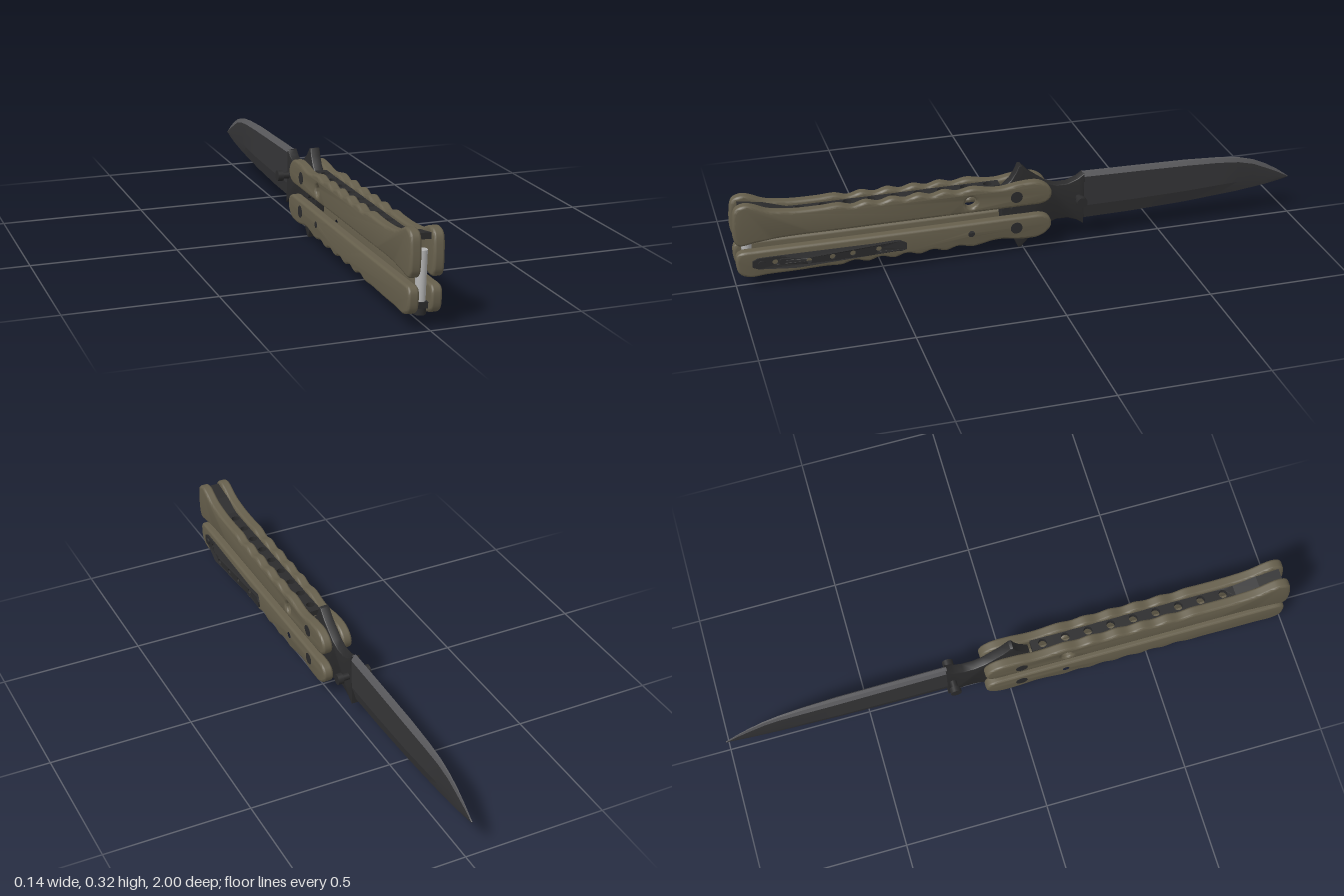
import * as THREE from 'three';
import { toCreasedNormals } from 'three/addons/utils/BufferGeometryUtils.js';

const MID = 0.1575; // height of the mirror line between the two handles
const V = (p) => new THREE.Vector2(p[0], p[1]);
const flip = (p) => [p[0], 2 * MID - p[1]];

export function createModel() {
  const mat = (name, color) => {
    const m = new THREE.MeshStandardMaterial({ color });
    m.name = name;
    return m;
  };
  const olive = mat('olive handle', 0x665f4c);
  const black = mat('black metal', 0x2b2b2c);
  const bladeGrey = mat('dark blade', 0x353537);
  const edgeGrey = mat('blade bevel', 0x58585b);
  const steel = mat('bright steel', 0xb4b4b4);

  const root = new THREE.Group();
  root.name = 'foldingKnife';
  const body = new THREE.Group();
  body.name = 'knifeBody';
  body.position.x = -0.019;
  body.rotation.z = -0.03; // slight lean
  root.add(body);

  const add = (name, geo, material, parent = body) => {
    const m = new THREE.Mesh(geo, material);
    m.name = name;
    parent.add(m);
    return m;
  };

  // Side profile given as (z, y), extruded to a thickness centred on x = 0
  const slab = (pts, thick, bevel, holes = []) => {
    const shape = new THREE.Shape(pts);
    for (const [z, y, r] of holes) {
      const h = new THREE.Path();
      h.absarc(z, y, r, 0, Math.PI * 2, true);
      shape.holes.push(h);
    }
    const g = new THREE.ExtrudeGeometry(shape, {
      depth: thick - 2 * bevel, bevelEnabled: bevel > 0, bevelSize: bevel, bevelThickness: bevel,
      bevelOffset: -bevel, bevelSegments: 3, curveSegments: 10,
    });
    g.translate(0, 0, bevel - thick / 2);
    g.rotateY(-Math.PI / 2);
    return g;
  };

  // Round bar lying along x
  const crossPin = (name, r, len, z, y, material, x = 0) => {
    const m = add(name, new THREE.CylinderGeometry(r, r, len, 24), material);
    m.rotation.z = Math.PI / 2;
    m.position.set(x, y, z);
  };
  const post = (name, r, y0, y1, z, material) => {
    add(name, new THREE.CylinderGeometry(r, r, y1 - y0, 24), material).position.set(0, (y0 + y1) / 2, z);
  };

  // Handle outline: straight inner side, shaped butt, finger waves, round pivot end
  const outline = (butt, mirror) => {
    const pts = [[-0.06, 0.18], [0.0, 0.178], [0.3, 0.178], [0.6, 0.178], [0.85, 0.177], ...butt, [0.8, 0.27], [0.7, 0.268]];
    for (let i = 0; i < 5; i++) pts.push([0.645 - 0.09 * i, 0.27], [0.6 - 0.09 * i, 0.259]);
    pts.push([0.19, 0.268], [0.12, 0.256], [0.08, 0.255], [0.02, 0.264], [-0.045, 0.263], [-0.08, 0.243], [-0.092, 0.22], [-0.085, 0.194]);
    const c = new THREE.CatmullRomCurve3(
      pts.map((p) => (mirror ? flip(p) : p)).map((p) => new THREE.Vector3(p[0], p[1], 0)), true, 'centripetal');
    return c.getSpacedPoints(220).slice(0, -1).map((p) => V([p.x, p.y]));
  };

  const flared = [[0.93, 0.169], [0.985, 0.164], [0.998, 0.18], [1.0, 0.25], [0.988, 0.298], [0.955, 0.31], [0.925, 0.302], [0.88, 0.282]];
  const plain = [[0.93, 0.177], [0.98, 0.179], [0.994, 0.19], [0.994, 0.245], [0.982, 0.262], [0.95, 0.273], [0.9, 0.27]];

  for (const upper of [true, false]) {
    const tag = upper ? 'upper' : 'lower';
    const pts = outline(upper ? flared : plain, !upper);
    const yAt = (y) => (upper ? y : 2 * MID - y);

    // Pair of scales with a through hole
    const scale = toCreasedNormals(slab(pts, 0.036, 0.009, [[0.195, yAt(0.217), 0.021]]), 0.7);
    for (const s of [1, -1]) add(`${tag}Scale${s > 0 ? 'Left' : 'Right'}`, scale, olive).position.x = s * 0.037;

    // Drilled spine strip between the scales, following the flared butt
    for (let i = 0; i < 11; i++) {
      const z = 0.124 + 0.081 * i;
      const cell = new THREE.Shape([V([-0.02, -0.0405]), V([0.02, -0.0405]), V([0.02, 0.0405]), V([-0.02, 0.0405])]);
      if (i < 9) {
        const hole = new THREE.Path();
        hole.absarc(0, 0, 0.015, 0, Math.PI * 2, true);
        cell.holes.push(hole);
      }
      const g = new THREE.ExtrudeGeometry(cell, { depth: 0.02, bevelEnabled: false, curveSegments: 10 });
      g.rotateX(-Math.PI / 2);
      g.translate(0, upper ? 0.234 : 0.061, z);
      const p = g.attributes.position;
      for (let k = 0; upper && k < p.count; k++) {
        p.setY(k, p.getY(k) + 0.042 * THREE.MathUtils.smoothstep(p.getZ(k), 0.79, 0.96));
      }
      g.computeVertexNormals();
      add(`${tag}Spine`, g, black);
    }
    crossPin(`${tag}PivotScrew`, 0.021, 0.1115, 0.035, yAt(0.217), black);
  }

  // Latch at the butt
  post('latchPost', 0.017, 0.06, 0.24, 0.955, steel);
  post('latchFoot', 0.02, 0.04, 0.062, 0.955, black);

  // Tang with pointed guards above and below
  const half = [[0.08, 0.178], [0.075, 0.235], [0.045, 0.262], [0.027, 0.29], [0.016, 0.316], [0.006, 0.314], [-0.02, 0.285],
    [-0.05, 0.262], [-0.085, 0.236], [-0.12, 0.224], [-0.16, 0.224], [-0.195, 0.237], [-0.22, 0.255]];
  const tang = [...half, ...half.map(flip).reverse()].map(V);
  add('tangAndGuards', toCreasedNormals(slab(tang, 0.034, 0.003), 0.6), black);
  crossPin('tangPin', 0.012, 0.06, 0.035, MID, black);
  crossPin('tangPin', 0.01, 0.05, 0.065, MID, black);

  // Thumb stud through the tang, with wider heads
  crossPin('thumbStud', 0.012, 0.11, -0.2, 0.165, black);
  for (const s of [1, -1]) crossPin('thumbStudHead', 0.019, 0.02, -0.2, 0.165, black, s * 0.051);

  // Blade lofted from cross-sections: z, cutting edge y, spine y
  const stations = [[-0.215, 0.075, 0.256], [-0.4, 0.077, 0.253], [-0.6, 0.085, 0.249], [-0.72, 0.094, 0.243], [-0.8, 0.1, 0.234],
    [-0.86, 0.107, 0.218], [-0.91, 0.113, 0.195], [-0.955, 0.121, 0.168], [-0.985, 0.127, 0.146], [-1, 0.132, 0.135]];
  const rings = stations.map(([z, b, t]) => {
    const h = t - b;
    const w = 0.0145 * (1 - 0.85 * THREE.MathUtils.smoothstep(-z, 0.6, 1.02));
    const s = Math.min(0.015, h * 0.2);
    return [[0, b], [w, b + 0.3 * h], [w, t - s], [0.4 * w, t], [-0.4 * w, t], [-w, t - s], [-w, b + 0.3 * h]].map(([x, y]) => [x, y, z]);
  });
  const faces = { body: [], bevel: [] };
  for (let i = 0; i + 1 < rings.length; i++) {
    for (let j = 0; j < 7; j++) {
      const k = (j + 1) % 7;
      const [a, b, c, d] = [rings[i][j], rings[i][k], rings[i + 1][k], rings[i + 1][j]];
      faces[j >= 2 && j <= 4 ? 'bevel' : 'body'].push(a, d, c, a, c, b);
    }
  }
  const first = rings[0], last = rings[rings.length - 1];
  for (let j = 1; j < 6; j++) {
    faces.body.push(first[0], first[j], first[j + 1], last[0], last[j + 1], last[j]);
  }
  const soup = (list) => {
    const g = new THREE.BufferGeometry();
    g.setAttribute('position', new THREE.Float32BufferAttribute(list.flat(), 3));
    return toCreasedNormals(g, 0.25);
  };
  add('blade', soup(faces.body), bladeGrey);
  add('bladeSpineBevel', soup(faces.bevel), edgeGrey);

  // Pocket clip: a drilled strip bent outwards by a rule along z
  const clipPts = [];
  const N = 28, z0 = 0.425, z1 = 0.945, yc = 0.094;
  for (let i = 0; i <= N; i++) {
    const z = z0 + ((z1 - z0) * i) / N;
    const end = Math.min(z - z0, z1 - z);
    clipPts.push([z, 0.011 + 0.009 * Math.min(1, end / 0.02)]);
  }
  const clipOutline = [...clipPts.map(([z, h]) => V([z, yc - h])), ...clipPts.reverse().map(([z, h]) => V([z, yc + h]))];
  const clip = slab(clipOutline, 0.006, 0, [0.52, 0.61, 0.68, 0.76, 0.87].map((z) => [z, yc, 0.01]));
  const bend = [[0.42, 0.014], [0.46, 0.002], [0.81, 0.025], [0.85, 0.002], [1, 0.002]];
  const cp = clip.attributes.position;
  for (let i = 0; i < cp.count; i++) {
    const z = cp.getZ(i);
    const n = Math.max(1, bend.findIndex((b) => b[0] >= z));
    const [p, q] = [bend[n - 1], bend[n]];
    cp.setX(i, cp.getX(i) + 0.056 + THREE.MathUtils.mapLinear(z, p[0], q[0], p[1], q[1]));
  }
  clip.computeVertexNormals();
  add('pocketClip', clip, black);
  for (const z of [0.915, 0.845]) crossPin('clipScrew', 0.012, 0.014, z, yc, black, 0.06);

  return root;
}
